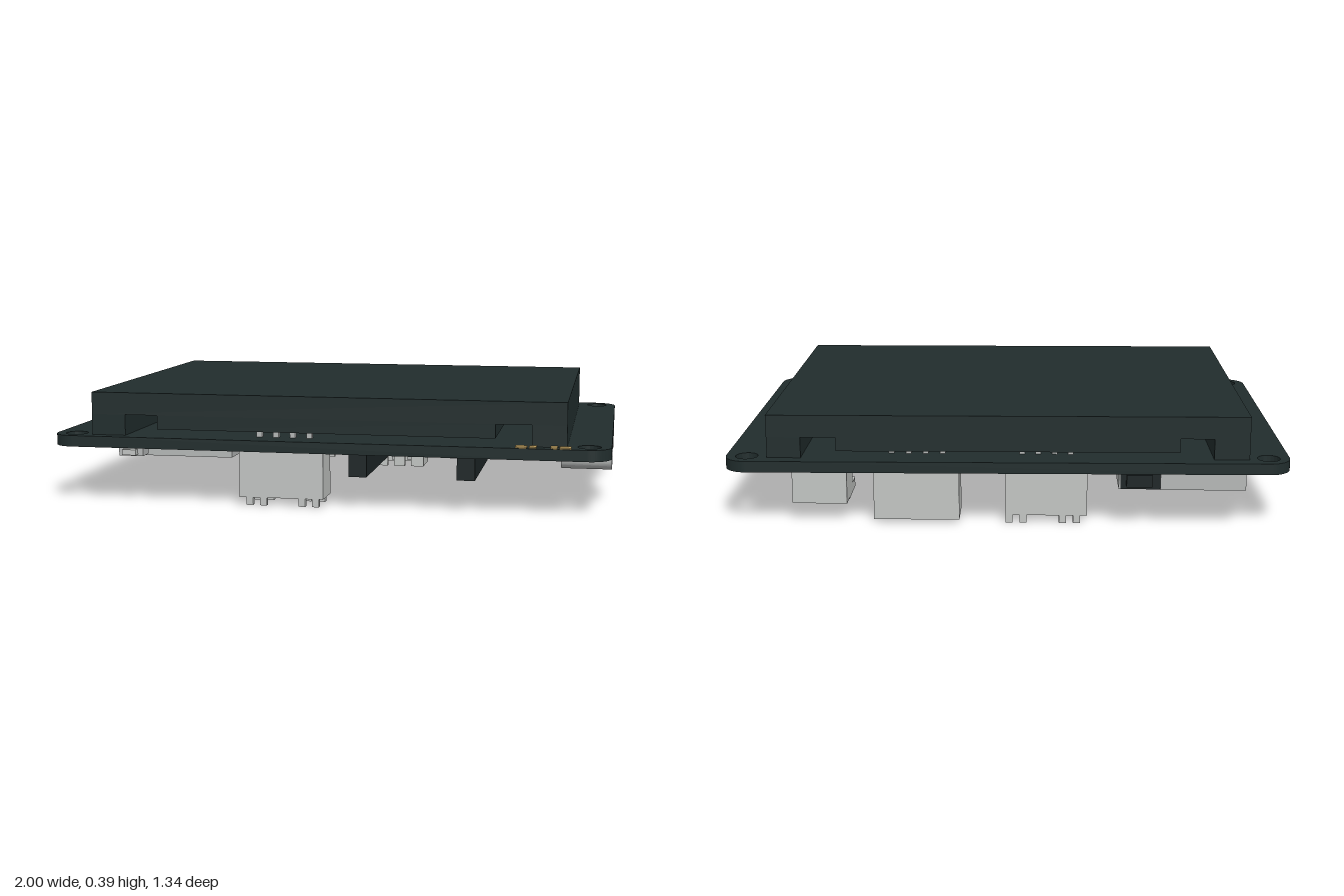
import * as THREE from 'three';

const mat = (name, hex, extra = {}) => {
  const m = new THREE.MeshStandardMaterial({ color: hex, ...extra });
  m.name = name;
  return m;
};

export function createModel() {
  const root = new THREE.Group();
  root.name = 'displayBoard';
  const board = mat('dark board', 0x212d2d);
  const black = mat('black plastic', 0x1d2526);
  const white = mat('pale plastic', 0xc3c6c4);
  const metal = mat('metal', 0xb6b9b8);
  const gold = mat('gold', 0xb89a5c);

  const add = (parent, name, geo, material) => {
    const m = new THREE.Mesh(geo, material);
    m.name = name;
    parent.add(m);
    return m;
  };
  // Box given by its limits on each axis
  const box = (parent, name, material, x0, x1, y0, y1, z0, z1) => {
    const m = add(parent, name, new THREE.BoxGeometry(x1 - x0, y1 - y0, z1 - z0), material);
    m.position.set((x0 + x1) / 2, (y0 + y1) / 2, (z0 + z1) / 2);
    return m;
  };
  const group = (name) => {
    const g = new THREE.Group();
    g.name = name;
    root.add(g);
    return g;
  };
  // Rounded rectangle centred on the origin
  const rounded = (w, h, r, Type = THREE.Shape) => {
    const s = new Type(), a = w / 2 - r, b = h / 2 - r;
    s.absarc(a, b, r, 0, Math.PI / 2);
    s.absarc(-a, b, r, Math.PI / 2, Math.PI);
    s.absarc(-a, -b, r, Math.PI, Math.PI * 1.5);
    s.absarc(a, -b, r, Math.PI * 1.5, Math.PI * 2);
    s.closePath();
    return s;
  };

  // Circuit board with four mounting holes
  const outline = rounded(2, 1.33, 0.08);
  for (const sx of [-1, 1]) for (const sz of [-1, 1]) {
    const hole = new THREE.Path();
    hole.absarc(sx * 0.925, sz * 0.592, 0.04, 0, Math.PI * 2, true);
    outline.holes.push(hole);
  }
  const slab = new THREE.ExtrudeGeometry(outline, { depth: 0.04, bevelEnabled: false, curveSegments: 10 });
  slab.rotateX(-Math.PI / 2);
  add(root, 'circuitBoard', slab, board).position.y = 0.2;

  // Raised screen with side rails and two through-slots
  const screen = group('screen');
  box(screen, 'screenPanel', board, -0.855, 0.85, 0.315, 0.395, -0.615, 0.622);
  box(screen, 'screenCore', board, -0.61, 0.605, 0.265, 0.315, -0.615, 0.622);
  box(screen, 'railRight', board, -0.855, -0.73, 0.24, 0.315, -0.615, 0.622);
  box(screen, 'railLeft', board, 0.73, 0.85, 0.24, 0.315, -0.615, 0.622);

  // Contacts on the front edge
  for (const [a, b] of [[0.675, 0.715], [0.723, 0.747], [0.795, 0.818], [0.826, 0.865]])
    box(root, 'edgeContact', gold, a, b, 0.239, 0.245, 0.622, 0.66);

  // Downward-facing socket: inner wall is notched, sign s points to the outer wall
  const socket = (name, x0, x1, y, z0, z1, pins, s) => {
    const g = group(name), t = 0.018, top = 0.2, w = x1 - x0;
    box(g, 'base', white, x0, x1, 0.15, top, z0, z1);
    box(g, 'sideWall', white, x0, x0 + t, y, 0.15, z0, z1);
    box(g, 'sideWall', white, x1 - t, x1, y, 0.15, z0, z1);
    const [o0, o1] = s > 0 ? [z1 - t, z1] : [z0, z0 + t];
    const [i0, i1] = s > 0 ? [z0, z0 + t] : [z1 - t, z1];
    box(g, 'outerWall', white, x0 + t, x1 - t, y, 0.15, o0, o1);
    box(g, 'innerWallLow', white, x0 + t, x1 - t, 0.11, 0.15, i0, i1);
    for (const [a, b] of [[0, 0.2], [0.36, 0.64], [0.8, 1]])
      box(g, 'innerWallTab', white, x0 + t + a * (w - 2 * t), x0 + t + b * (w - 2 * t), y, 0.11, i0, i1);
    for (let i = 0; i < pins; i++) {
      const px = x0 + w * (i + 1) / (pins + 1), pz = (z0 + z1) / 2;
      box(g, 'pin', metal, px - 0.008, px + 0.008, 0.07, 0.15, pz - 0.008, pz + 0.008);
      box(g, 'pinTail', metal, px - 0.01, px + 0.01, 0.24, 0.258, pz - 0.01, pz + 0.01);
    }
    return g;
  };
  const front = socket('frontSocket', -0.305, 0, 0.03, 0.5, 0.625, 4, 1);
  const backMid = socket('backSocketRight', -0.285, 0.005, 0.03, -0.61, -0.475, 4, -1);
  socket('backSocketLeft', 0.17, 0.475, 0.012, -0.61, -0.47, 4, -1);
  socket('centreSocket', 0.08, 0.27, 0.055, -0.125, 0.01, 2, -1);
  // Latching feet on the two tall sockets
  for (const [g, x0, z0, z1] of [[front, -0.305, 0.5, 0.625], [backMid, -0.285, -0.61, -0.475]])
    for (const fx of [0.025, 0.075, 0.215, 0.265])
      for (const z of [z0, z1 - 0.02])
        box(g, 'foot', white, x0 + fx, x0 + fx + 0.025, 0.002, 0.03, z, z + 0.02);

  // Battery socket, opening towards the board centre
  const batt = group('batterySocket');
  box(batt, 'back', white, 0.57, 0.765, 0.07, 0.205, -0.61, -0.54);
  box(batt, 'floor', white, 0.57, 0.765, 0.175, 0.205, -0.54, -0.38);
  box(batt, 'cover', white, 0.595, 0.74, 0.07, 0.09, -0.54, -0.42);
  for (const x of [0.57, 0.745]) {
    box(batt, 'sideWall', white, x, x + 0.02, 0.09, 0.175, -0.54, -0.45);
    box(batt, 'prong', white, x, x + 0.02, 0.065, 0.1, -0.54, -0.38);
    box(batt, 'prong', white, x, x + 0.02, 0.14, 0.175, -0.45, -0.38);
  }
  for (const x of [0.635, 0.695]) box(batt, 'pin', metal, x - 0.01, x + 0.01, 0.12, 0.14, -0.54, -0.42);

  // Two charging ports on the left edge
  for (const z of [0.263, -0.248]) {
    const port = group('port');
    const ring = rounded(0.215, 0.08, 0.036);
    ring.holes.push(rounded(0.192, 0.058, 0.027, THREE.Path));
    const shell = new THREE.ExtrudeGeometry(ring, { depth: 0.18, bevelEnabled: false, curveSegments: 8 });
    shell.rotateY(Math.PI / 2);
    add(port, 'shell', shell, metal).position.set(0.82, 0.162, z);
    const plug = new THREE.ExtrudeGeometry(rounded(0.192, 0.058, 0.027), { depth: 0.05, bevelEnabled: false });
    plug.rotateY(Math.PI / 2);
    add(port, 'innerBack', plug, black).position.set(0.821, 0.162, z);
    box(port, 'tongue', black, 0.87, 0.985, 0.155, 0.169, z - 0.075, z + 0.075);
    for (const s of [-1, 1])
      box(port, 'shellTab', metal, 0.85, 0.9, 0.165, 0.202, z + s * 0.108 - 0.01, z + s * 0.108 + 0.01);
  }

  // Radio module with shield, castellated pads and folded aerial
  const radio = group('radioModule');
  box(radio, 'moduleBoard', black, -0.99, -0.375, 0.183, 0.2, -0.08, 0.41);
  box(radio, 'shield', metal, -0.83, -0.4, 0.13, 0.183, -0.055, 0.385);
  for (let i = 0; i < 14; i++) {
    const x = -0.81 + i * 0.031;
    for (const z of [-0.083, 0.393]) box(radio, 'modulePad', gold, x, x + 0.015, 0.18, 0.198, z, z + 0.02);
  }
  for (let i = 0; i < 12; i++) {
    const z = -0.04 + i * 0.035;
    box(radio, 'modulePad', gold, -0.392, -0.372, 0.18, 0.198, z, z + 0.016);
  }
  for (let i = 0; i < 7; i++) {
    const z = -0.03 + i * 0.06;
    box(radio, 'aerial', gold, -0.965, -0.865, 0.18, 0.184, z, z + 0.014);
    const x = i % 2 ? -0.965 : -0.879;
    if (i < 6) box(radio, 'aerial', gold, x, x + 0.014, 0.18, 0.184, z, z + 0.07);
  }

  // Header strips with solder pads alongside
  for (const x of [0.095, 0.475]) {
    const g = group('headerStrip');
    box(g, 'strip', black, x, x + 0.063, 0.118, 0.2, 0.19, 0.64);
    for (let i = 0; i < 8; i++) {
      const z = 0.21 + i * 0.054;
      box(g, 'headerPad', gold, x + 0.063, x + 0.11, 0.194, 0.201, z, z + 0.03);
    }
  }

  // Card slot on the back edge
  const slot = group('cardSlot');
  box(slot, 'slotBody', black, -0.84, -0.4, 0.14, 0.2, -0.645, -0.27);
  box(slot, 'slotFace', metal, -0.84, -0.54, 0.14, 0.198, -0.653, -0.645);
  box(slot, 'slotEnd', metal, -0.4, -0.394, 0.14, 0.2, -0.645, -0.5);
  box(slot, 'card', black, -0.51, -0.42, 0.155, 0.2, -0.675, -0.645);
  for (const [x, z] of [[-0.91, -0.14], [-0.87, -0.36], [-0.93, -0.56]])
    box(slot, 'slotPad', gold, x - 0.02, x + 0.02, 0.195, 0.201, z - 0.02, z + 0.02);

  // Side button
  const button = group('sideButton');
  box(button, 'buttonBody', metal, -0.75, -0.66, 0.168, 0.2, 0.575, 0.635);
  box(button, 'buttonCap', white, -0.73, -0.68, 0.174, 0.194, 0.635, 0.66);

  // Chips as [x, z, width, length, drop]
  for (const [x, z, w, l, h] of [[0.62, 0, 0.12, 0.12, 0.05], [-0.03, -0.28, 0.1, 0.16, 0.04],
    [-0.22, 0.2, 0.12, 0.1, 0.05], [0.4, -0.03, 0.1, 0.1, 0.03], [-0.2, 0.05, 0.1, 0.08, 0.03]]) {
    const g = group('chip');
    box(g, 'chipBody', black, x - w / 2, x + w / 2, 0.2 - h, 0.2, z - l / 2, z + l / 2);
    for (let i = 0; i < 3; i++) for (const s of [-1, 1]) {
      const px = x + (i - 1) * w * 0.35, pz = z + s * (l / 2 + 0.008);
      box(g, 'chipLeg', metal, px - 0.009, px + 0.009, 0.19, 0.2, pz - 0.01, pz + 0.01);
    }
  }

  // Rows of tiny parts as [x, z, count, step x, step z]
  for (const [x, z, n, dx, dz] of [[0.7, 0.09, 5, 0, -0.05], [0.53, 0.1, 4, 0, -0.05], [-0.4, -0.15, 4, 0.06, 0],
    [-0.3, -0.22, 3, 0.06, 0], [0.3, -0.22, 5, 0.06, 0], [-0.45, 0.5, 3, 0.05, 0], [0.3, 0.15, 3, 0, 0.08]])
    for (let i = 0; i < n; i++) {
      const px = x + dx * i, pz = z + dz * i;
      box(root, 'tinyPart', black, px - 0.012, px + 0.012, 0.185, 0.2, pz - 0.01, pz + 0.01);
      for (const s of [-1, 1])
        box(root, 'tinyPartEnd', i % 2 ? gold : metal, px + s * 0.017 - 0.005, px + s * 0.017 + 0.005, 0.187, 0.2, pz - 0.01, pz + 0.01);
    }
  return root;
}
